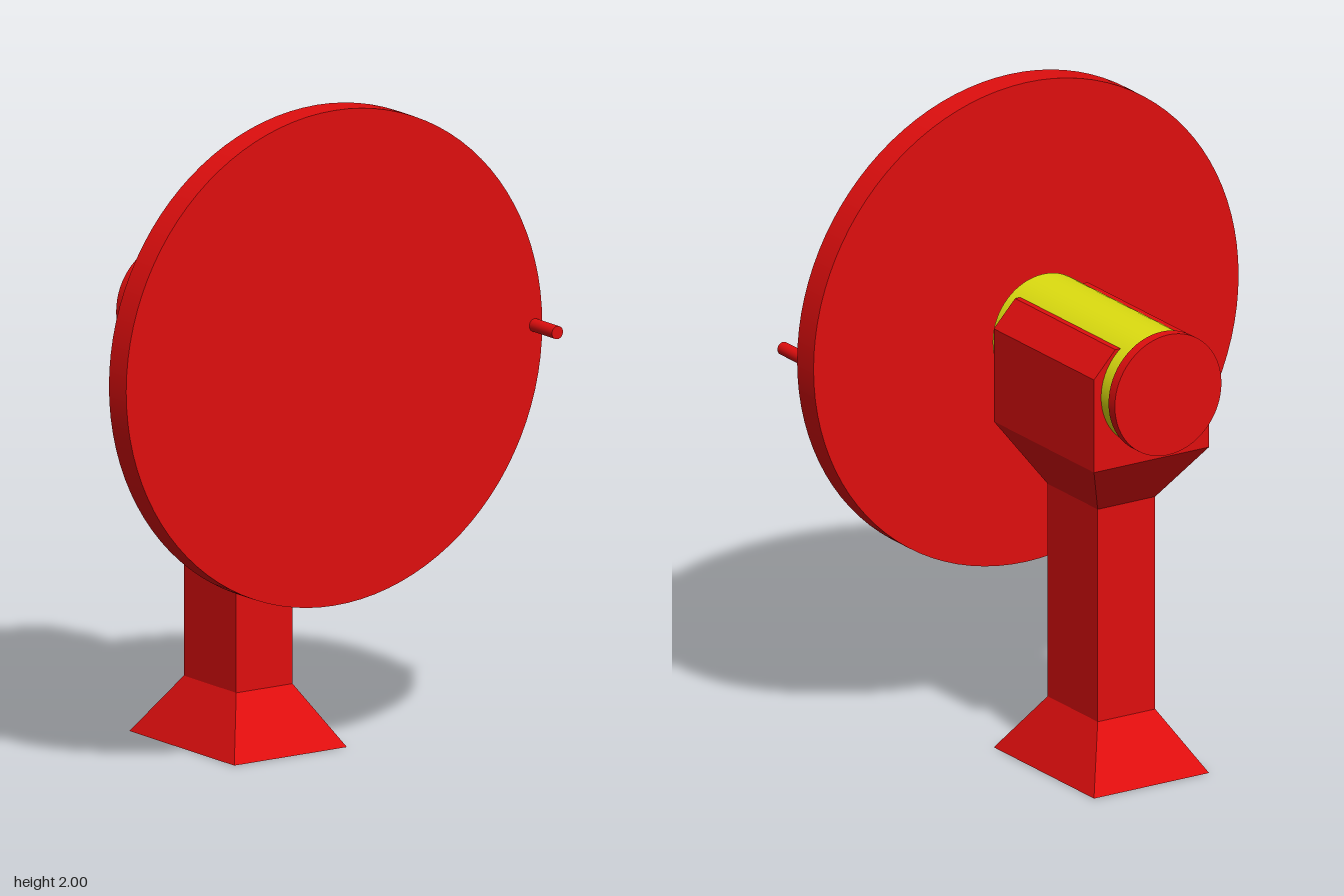
import * as THREE from 'three';

const red = new THREE.MeshStandardMaterial({ color: 0xe00e0e });
red.name = 'red';
const yellow = new THREE.MeshStandardMaterial({ color: 0xdede10 });
yellow.name = 'yellow';
const blue = new THREE.MeshStandardMaterial({ color: 0x0e0ee0 });
blue.name = 'blue';

const AXIS_Y = 1.25;   // height of the wheel axis
const POST_Z = -0.125; // centre of the stand
const HALF_X = 0.203, HALF_Z = 0.268; // half size of the foot and the head

export function createModel() {
  const model = new THREE.Group();
  model.name = 'crankWheelOnStand';

  const add = (parent, name, geometry, material) => {
    const mesh = new THREE.Mesh(geometry, material);
    mesh.name = name;
    parent.add(mesh);
    return mesh;
  };

  // Cylinder lying along z between two depths
  const rod = (parent, name, radius, z0, z1, material, x = 0, segments = 64) => {
    const geometry = new THREE.CylinderGeometry(radius, radius, z1 - z0, segments);
    geometry.rotateX(Math.PI / 2);
    add(parent, name, geometry, material).position.set(x, AXIS_Y, (z0 + z1) / 2);
  };

  // Four-sided tapering section; sizes are fractions of the foot size
  const section = (parent, name, y0, y1, bottom, top) => {
    const r = Math.SQRT2;
    let geometry = new THREE.CylinderGeometry(top * r, bottom * r, y1 - y0, 4, 1, true, Math.PI / 4);
    geometry.scale(HALF_X, 1, HALF_Z);
    geometry = geometry.toNonIndexed();
    geometry.computeVertexNormals();
    add(parent, name, geometry, red).position.set(0, (y0 + y1) / 2, POST_Z);
  };

  // Stand: flared foot, square post, flared neck
  const stand = new THREE.Group();
  stand.name = 'stand';
  model.add(stand);
  section(stand, 'foot', 0, 0.18, 1, 0.5);
  section(stand, 'post', 0.18, 0.845, 0.5, 0.5);
  section(stand, 'neck', 0.845, 1.02, 0.5, 1);

  const underside = new THREE.PlaneGeometry(2 * HALF_X, 2 * HALF_Z);
  underside.rotateX(Math.PI / 2);
  add(stand, 'footUnderside', underside, yellow).position.z = POST_Z;

  // Bearing block with chamfered upper edges
  const profile = new THREE.Shape([
    [-HALF_X, 1.02], [HALF_X, 1.02], [HALF_X, 1.31],
    [0.128, 1.39], [-0.128, 1.39], [-HALF_X, 1.31],
  ].map(([x, y]) => new THREE.Vector2(x, y)));
  const block = new THREE.ExtrudeGeometry(profile, { depth: 2 * HALF_Z, bevelEnabled: false });
  add(stand, 'bearingBlock', block, red).position.z = POST_Z - HALF_Z;

  // Bearing sleeve and the axle through it
  rod(model, 'bearingSleeve', 0.178, -0.438, 0.187, yellow);
  rod(model, 'axle', 0.089, -0.455, 0.285, blue);
  rod(model, 'endCap', 0.188, -0.482, -0.448, red);

  // Large wheel with its crank handle
  const wheel = new THREE.Group();
  wheel.name = 'wheel';
  model.add(wheel);
  rod(wheel, 'disc', 0.75, 0.278, 0.366, red, 0, 96);
  rod(wheel, 'crankHandle', 0.02, 0.36, 0.482, red, 0.723, 24);

  return model;
}
